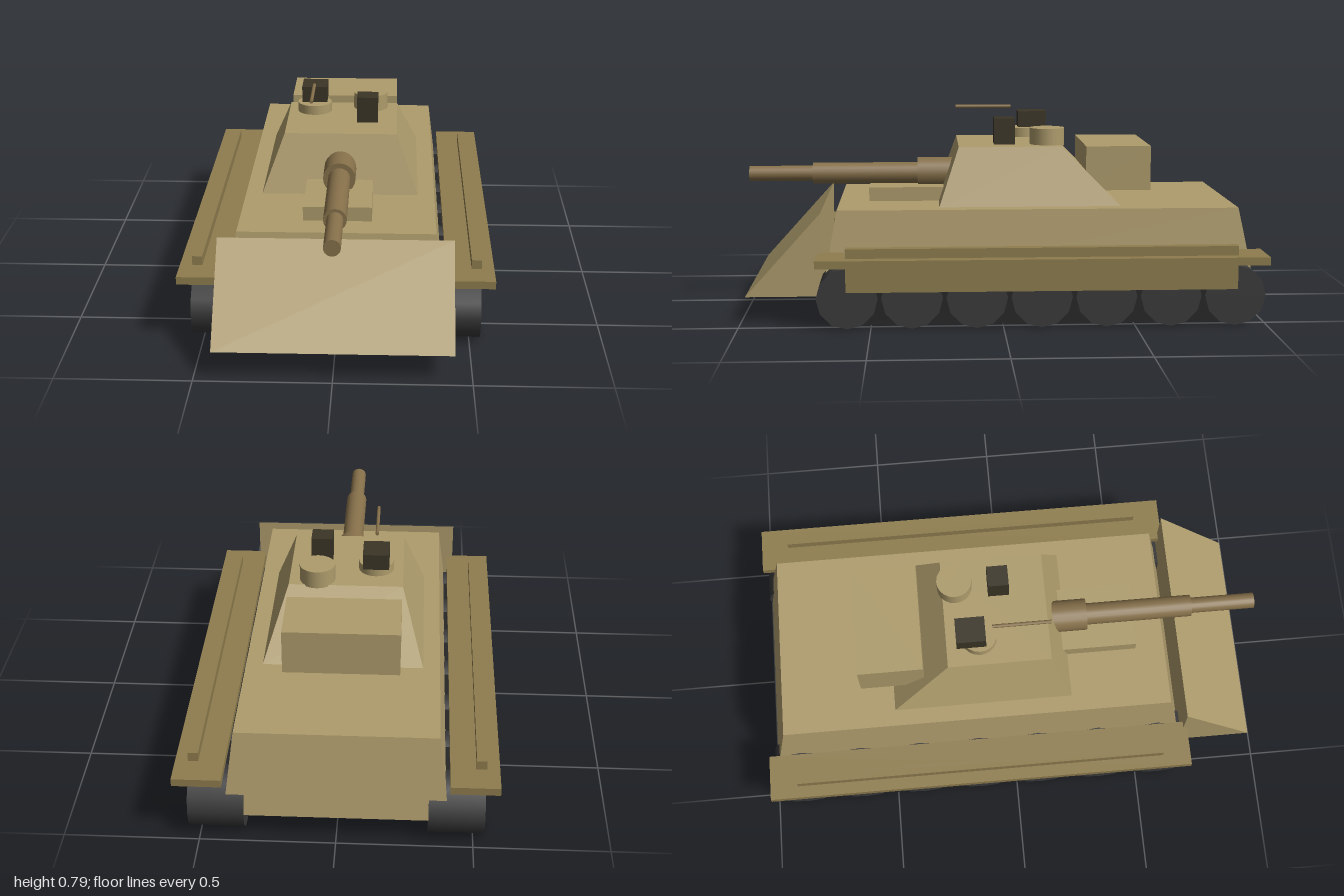
import * as THREE from 'three';

const mat = (color) => new THREE.MeshStandardMaterial({ color });
const armour = mat(0xae9c6c);
const trim = mat(0x8f7d4e);
const steel = mat(0x86704a);
const dark = mat(0x3a3526);
const rubber = mat(0x3a3a3a);
const belt = mat(0x262626);

export function createModel() {
  const tank = new THREE.Group();
  tank.name = 'tank';

  const add = (name, geometry, material) => {
    const mesh = new THREE.Mesh(geometry, material);
    mesh.name = name;
    tank.add(mesh);
    return mesh;
  };

  // Box given by its limits on each axis
  const box = (name, material, [x0, x1], [y0, y1], [z0, z1]) =>
    add(name, new THREE.BoxGeometry(x1 - x0, y1 - y0, z1 - z0)
      .translate((x0 + x1) / 2, (y0 + y1) / 2, (z0 + z1) / 2), material);

  // Box whose lower and upper rectangles differ: { y, x: half width, z: [back, front] }
  const frustum = (name, material, low, high) => {
    const geometry = new THREE.BoxGeometry(1, 1, 1);
    const p = geometry.attributes.position;
    for (let i = 0; i < p.count; i++) {
      const end = p.getY(i) > 0 ? high : low;
      p.setXYZ(i, Math.sign(p.getX(i)) * end.x, end.y, end.z[p.getZ(i) > 0 ? 1 : 0]);
    }
    geometry.computeVertexNormals();
    return add(name, geometry, material);
  };

  // Cylinder lying along z
  const rod = (name, material, x, y, r, z0, z1, sides = 20) =>
    add(name, new THREE.CylinderGeometry(r, r, z1 - z0, sides)
      .rotateX(Math.PI / 2).translate(x, y, (z0 + z1) / 2), material);

  // Upright cylinder
  const drum = (name, material, x, z, r, y0, y1) =>
    add(name, new THREE.CylinderGeometry(r, r, y1 - y0, 20)
      .translate(x, (y0 + y1) / 2, z), material);

  // Hull with sloped sides
  frustum('hull', armour,
    { y: 0.105, x: 0.41, z: [-0.985, 0.69] },
    { y: 0.425, x: 0.37, z: [-0.92, 0.632] });

  // Sloped nose wedge
  const profile = new THREE.Shape([
    new THREE.Vector2(0.69, 0.105),
    new THREE.Vector2(0.98, 0.105),
    new THREE.Vector2(0.69, 0.425),
  ]);
  add('noseWedge', new THREE.ExtrudeGeometry(profile, { depth: 0.87, bevelEnabled: false })
    .rotateY(-Math.PI / 2).translate(0.435, 0, 0), armour);

  // Running gear, fender and skirt on each side
  for (const [side, s] of [['left', 1], ['right', -1]]) {
    const span = (a, b) => (s > 0 ? [a, b] : [-b, -a]);
    box(side + 'Track', belt, span(0.338, 0.537), [0.015, 0.218], [-0.875, 0.59]);
    for (let i = 0; i < 7; i++) {
      add(side + 'Wheel' + (i + 1), new THREE.CylinderGeometry(0.116, 0.116, 0.205, 12)
        .rotateZ(Math.PI / 2)
        .translate(s * 0.4375, 0.116, 0.589 - i * 0.2447), rubber);
    }
    box(side + 'Fender', trim, span(0.41, 0.59), [0.24, 0.27], [-1, 0.705]);
    box(side + 'Skirt', trim, span(0.505, 0.543), [0.14, 0.306], [-0.888, 0.593]);
  }

  // Turret, rear stowage and front plate
  frustum('turret', armour,
    { y: 0.425, x: 0.306, z: [-0.47, 0.238] },
    { y: 0.65, x: 0.221, z: [-0.245, 0.16] });
  box('stowageBox', armour, [-0.22, 0.22], [0.475, 0.65], [-0.598, -0.342]);
  box('frontPlate', armour, [-0.13, 0.13], [0.425, 0.48], [0.2, 0.515]);

  // Main gun, stepped towards the muzzle
  rod('gunCollar', steel, 0, 0.522, 0.063, 0.165, 0.322);
  rod('gunSleeve', steel, 0, 0.522, 0.043, 0.3, 0.745);
  rod('gunBarrel', steel, 0, 0.522, 0.031, 0.7, 1);

  // Roof fittings
  drum('leftHatch', armour, 0.112, -0.195, 0.069, 0.645, 0.715);
  drum('rightHatch', armour, -0.115, -0.115, 0.069, 0.659, 0.696);
  box('periscope', dark, [0.06, 0.144], [0.65, 0.754], [-0.065, 0.017]);
  box('roofGunMount', dark, [-0.166, -0.064], [0.7, 0.764], [-0.205, -0.09]);
  rod('roofGunBarrel', steel, -0.115, 0.781, 0.007, -0.062, 0.165, 10);

  return tank;
}
